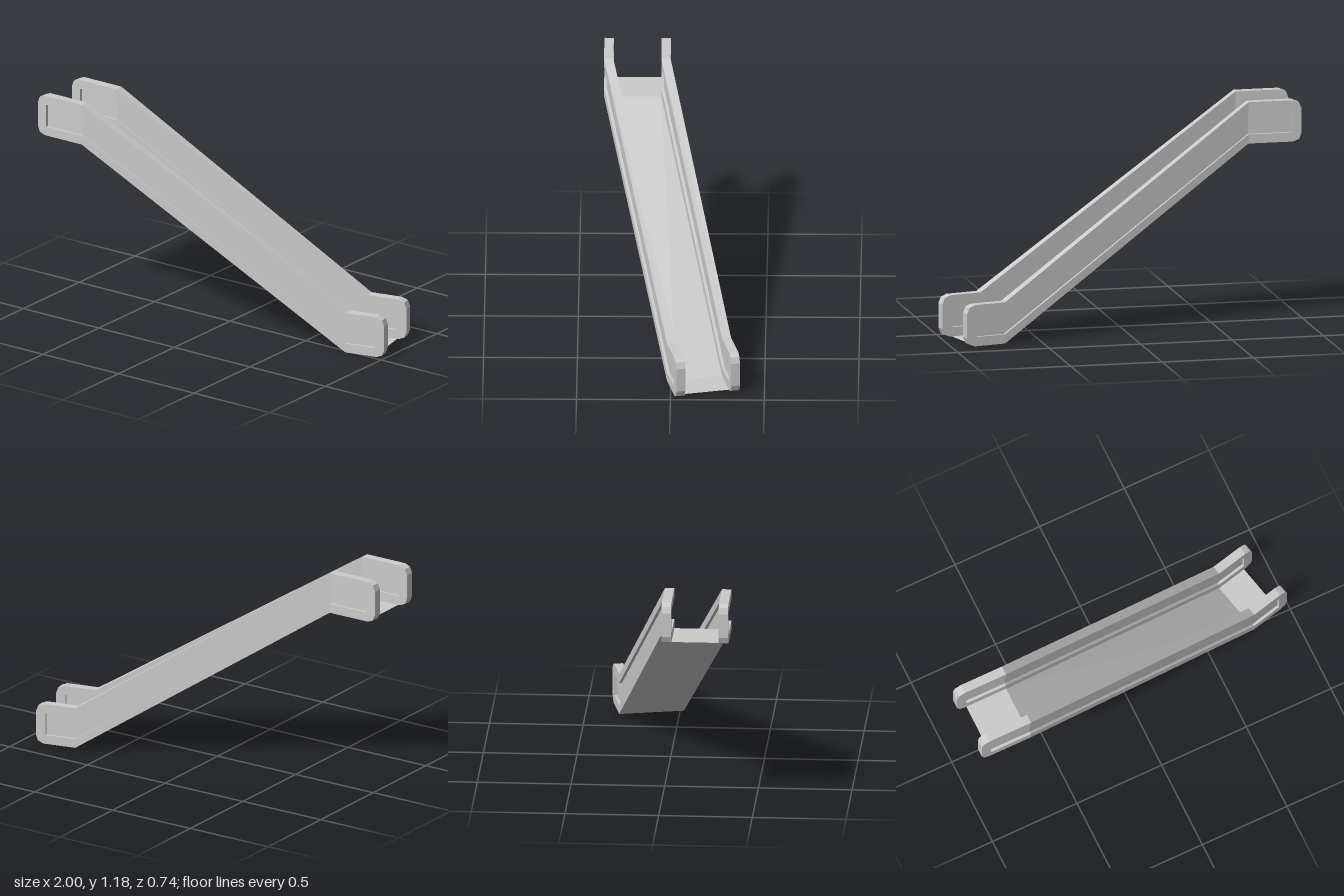
import * as THREE from 'three';

const RAIL = 0.141;    // rail thickness as a share of the full width
const RECESS = 0.043;  // panel recess depth as a share of the full width
const HEIGHT = 0.224, BORDER = 0.05, PANEL_END = 0.055;

// Plan stations from top to bottom: back edge [x, z], front edge [x, z], base height
const stations = [
  { back: [-1, 0.015], front: [-1, 0.37], y: 0.957 },
  { back: [-0.71, 0.015], front: [-0.71, 0.37], y: 0.957 },
  { back: [0.70, -0.32], front: [0.778, 0.02], y: 0 },
  { back: [0.919, -0.37], front: [0.997, -0.032], y: 0 },
];
const UPPER = 0.29, LOWER = 0.225; // landing lengths

const mix = THREE.MathUtils.lerp;

// Point at path position u (0..3), share q across the width (0 back, 1 front), height h over the base
function place(u, q, h) {
  const i = Math.min(2, Math.floor(u)), f = u - i;
  const a = stations[i], b = stations[i + 1];
  const at = (s, k) => mix(s.back[k], s.front[k], q);
  return [mix(at(a, 0), at(b, 0), f), mix(a.y, b.y, f) + h, mix(at(a, 1), at(b, 1), f)];
}

// Columns along a rail: position, corner rounding, recess depth
const endColumns = [[0, 0.046, 0], [0.013, 0.013, 0], [0.046, 0, 0], [PANEL_END, 0, 0], [PANEL_END, 0, RECESS]];
const columns = [
  ...endColumns.map(([e, cut, d]) => ({ u: e / UPPER, cut, d })),
  { u: 1, cut: 0, d: RECESS },
  { u: 2, cut: 0, d: RECESS },
  ...endColumns.map(([e, cut, d]) => ({ u: 3 - e / LOWER, cut, d })).reverse(),
];

// I-shaped cross-section of a rail, starting at share q0
function railSection({ u, cut, d }, q0) {
  const q1 = q0 + RAIL, lo = cut, hi = HEIGHT - cut, a = BORDER, b = HEIGHT - BORDER;
  return [
    [q0, lo], [q1, lo], [q1, a], [q1 - d, a], [q1 - d, b], [q1, b],
    [q1, hi], [q0, hi], [q0, b], [q0 + d, b], [q0 + d, a], [q0, a],
  ].map(([q, h]) => place(u, q, h));
}

function meshFrom(name, triangles, side = THREE.FrontSide) {
  const geometry = new THREE.BufferGeometry();
  geometry.setAttribute('position', new THREE.Float32BufferAttribute(triangles.flat(), 3));
  geometry.computeVertexNormals();
  const mesh = new THREE.Mesh(geometry, new THREE.MeshStandardMaterial({ color: 0xcccccc, flatShading: true, side }));
  mesh.name = name;
  return mesh;
}

const quad = (a, b, c, d) => [a, b, c, a, c, d];

function makeRail(name, q0) {
  const rings = columns.map((c) => railSection(c, q0));
  const tris = [];
  for (let c = 0; c < rings.length - 1; c++) {
    const r = rings[c], s = rings[c + 1];
    for (let i = 0; i < r.length; i++) {
      const j = (i + 1) % r.length;
      tris.push(...quad(r[i], s[i], s[j], r[j]));
    }
  }
  // End faces
  const first = rings[0], last = rings[rings.length - 1];
  tris.push(...quad(first[0], first[1], first[6], first[7]));
  tris.push(...quad(last[7], last[6], last[1], last[0]));
  return meshFrom(name, tris);
}

// Thin ramp and landings between the rails
function makeFloor() {
  const us = [PANEL_END / UPPER, 1, 2, 3 - PANEL_END / LOWER];
  const tris = [];
  for (let i = 0; i < 3; i++) {
    const p = (u, q) => place(u, q, 0);
    tris.push(...quad(p(us[i], RAIL), p(us[i], 1 - RAIL), p(us[i + 1], 1 - RAIL), p(us[i + 1], RAIL)));
  }
  return meshFrom('rampFloor', tris, THREE.DoubleSide);
}

export function createModel() {
  const group = new THREE.Group();
  group.name = 'escalator';
  group.add(makeRail('backRail', 0), makeRail('frontRail', 1 - RAIL), makeFloor());
  return group;
}
